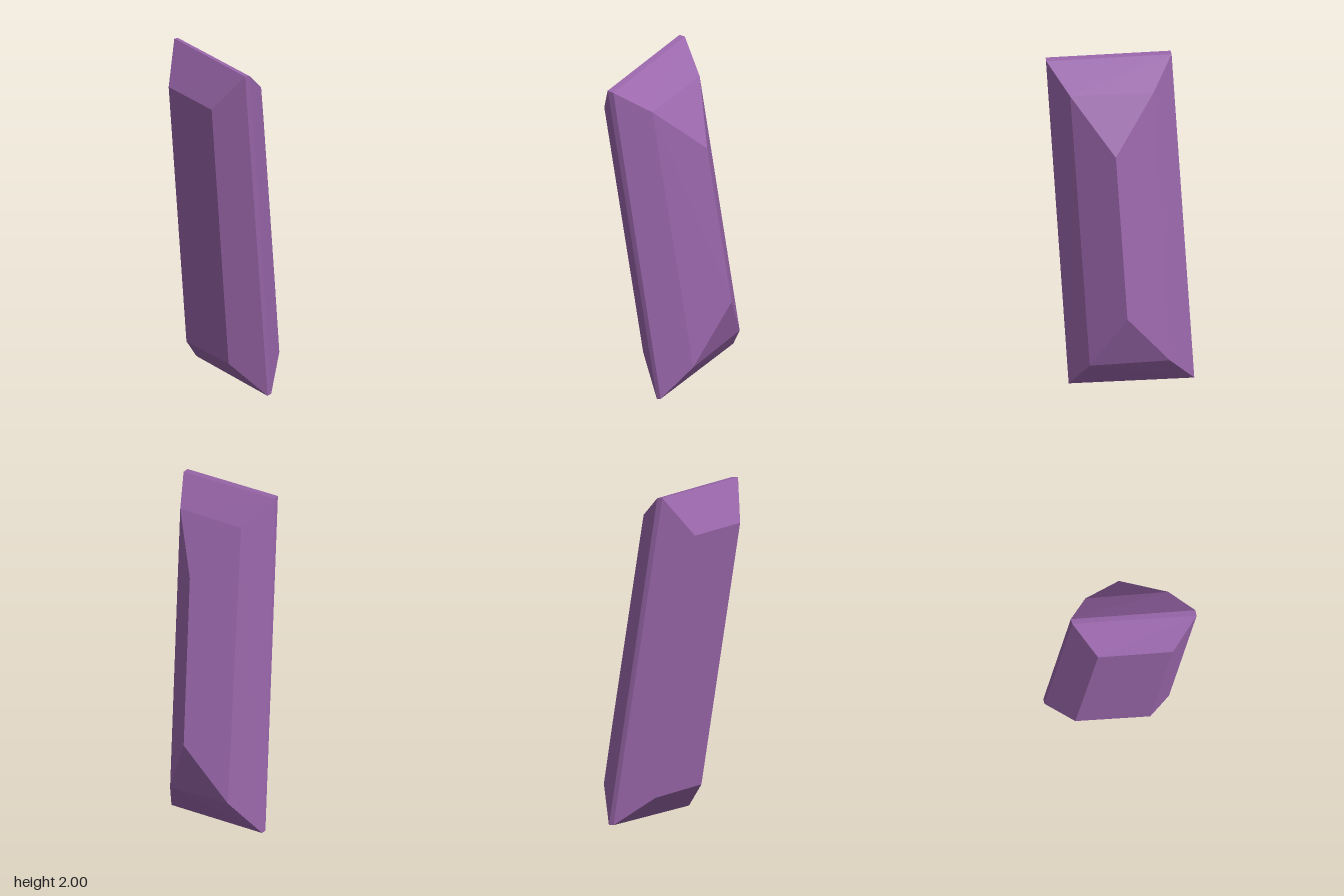
import * as THREE from 'three';
import { ConvexGeometry } from 'three/addons/geometries/ConvexGeometry.js';

// The long edges of the crystal, in order around it: [top corner, bottom corner]
const longEdges = [
  [[-0.26, 2.0, -0.19], [-0.105, 0.06, -0.42]],      // back ridge, chamfered
  [[-0.235, 1.995, -0.21], [-0.08, 0.055, -0.437]],
  [[-0.037, 1.84, -0.2], [0.105, 0.24, -0.38]],      // back left
  [[0.235, 1.53, -0.105], [0.312, 0.56, -0.22]],     // left
  [[0.18, 1.815, 0.215], [0.308, 0.2, 0.022]],       // front left
  [[0.09, 1.945, 0.415], [0.24, 0.01, 0.193]],       // front ridge, chamfered
  [[0.06, 1.95, 0.435], [0.218, 0, 0.205]],
  [[-0.12, 1.74, 0.362], [0, 0.19, 0.178]],          // front right
  [[-0.315, 1.77, -0.013], [-0.19, 0.215, -0.2]],    // right
];

export function createModel() {
  const group = new THREE.Group();
  group.name = 'crystal';

  // Faceted shard: the convex solid spanned by the leaning edges
  const corners = longEdges.flat().map((p) => new THREE.Vector3(...p));
  const shard = new THREE.Mesh(
    new ConvexGeometry(corners),
    new THREE.MeshStandardMaterial({ color: 0x9966aa, flatShading: true })
  );
  shard.name = 'crystalShard';
  group.add(shard);
  return group;
}
